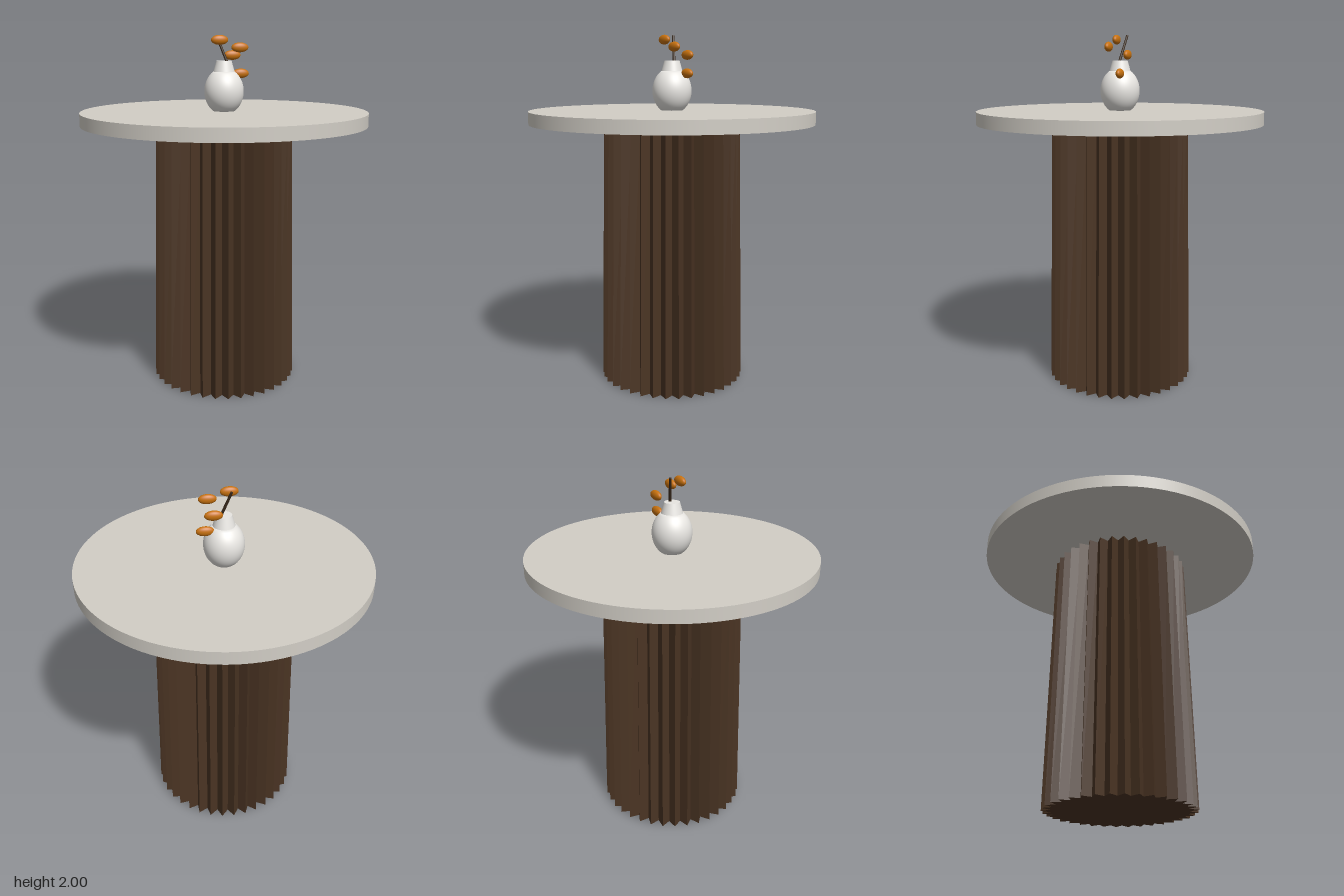
import * as THREE from 'three';

const mat = (color, flatShading = false) => new THREE.MeshStandardMaterial({ color, flatShading });

function add(parent, name, geometry, material, x = 0, y = 0, z = 0) {
  const mesh = new THREE.Mesh(geometry, material);
  mesh.name = name;
  mesh.position.set(x, y, z);
  parent.add(mesh);
  return mesh;
}

// Tapered column whose rim alternates between ridges and grooves
function flutedColumn(rTop, rBottom, height, ridges, grooveRatio) {
  const geo = new THREE.CylinderGeometry(rTop, rBottom, height, ridges * 2, 1);
  const p = geo.attributes.position;
  for (let i = 0; i < p.count; i++) {
    const x = p.getX(i), z = p.getZ(i);
    if (Math.hypot(x, z) < 1e-6) continue; // cap centres
    const step = Math.round(Math.atan2(x, z) / (Math.PI / ridges));
    if (step % 2 !== 0) {
      p.setX(i, x * grooveRatio);
      p.setZ(i, z * grooveRatio);
    }
  }
  geo.computeVertexNormals();
  return geo;
}

export function createModel() {
  const group = new THREE.Group();
  group.name = 'pedestalTable';

  // Table
  add(group, 'pedestal', flutedColumn(0.39, 0.42, 1.48, 36, 0.88), mat(0x4a3423, true), 0, 0.74, 0);
  add(group, 'tableTop', new THREE.CylinderGeometry(0.813, 0.813, 0.072, 96), mat(0xd2cec6), 0, 1.544, 0);

  // Vase: rounded body cut flat at the foot, with a tapered neck
  const vase = new THREE.Group();
  vase.name = 'vase';
  group.add(vase);
  const ceramic = mat(0xe8e6e2);
  const body = [new THREE.Vector2(0, -0.11)];
  for (let i = 0; i <= 24; i++) {
    const y = -0.11 + (0.22 * i) / 24;
    body.push(new THREE.Vector2(0.112 * Math.sqrt(1 - (y / 0.132) ** 2), y));
  }
  body.push(new THREE.Vector2(0, 0.116));
  add(vase, 'vaseBody', new THREE.LatheGeometry(body, 48), ceramic, 0, 1.69, 0);
  add(vase, 'vaseNeck', new THREE.CylinderGeometry(0.043, 0.06, 0.06, 48), ceramic, 0, 1.83, 0);

  // Leaning twig
  const from = new THREE.Vector3(0.03, 1.82, 0.005);
  const to = new THREE.Vector3(-0.035, 1.998, -0.033);
  const dir = to.clone().sub(from);
  const mid = from.clone().add(to).multiplyScalar(0.5);
  const twig = add(group, 'twig', new THREE.CylinderGeometry(0.007, 0.008, dir.length(), 10),
    mat(0x3a2a1c), mid.x, mid.y, mid.z);
  twig.quaternion.setFromUnitVectors(new THREE.Vector3(0, 1, 0), dir.normalize());

  // Flattened oval leaves
  const leafGeo = new THREE.SphereGeometry(1, 24, 16).scale(0.049, 0.027, 0.02);
  const leafMat = mat(0xc8720f);
  const leaves = [
    [-0.032, 1.975, 0.03], [0.081, 1.934, 0.042], [0.063, 1.89, -0.062], [0.104, 1.788, -0.03],
  ];
  for (const [x, y, z] of leaves) add(group, 'leaf', leafGeo, leafMat, x, y, z);

  return group;
}
